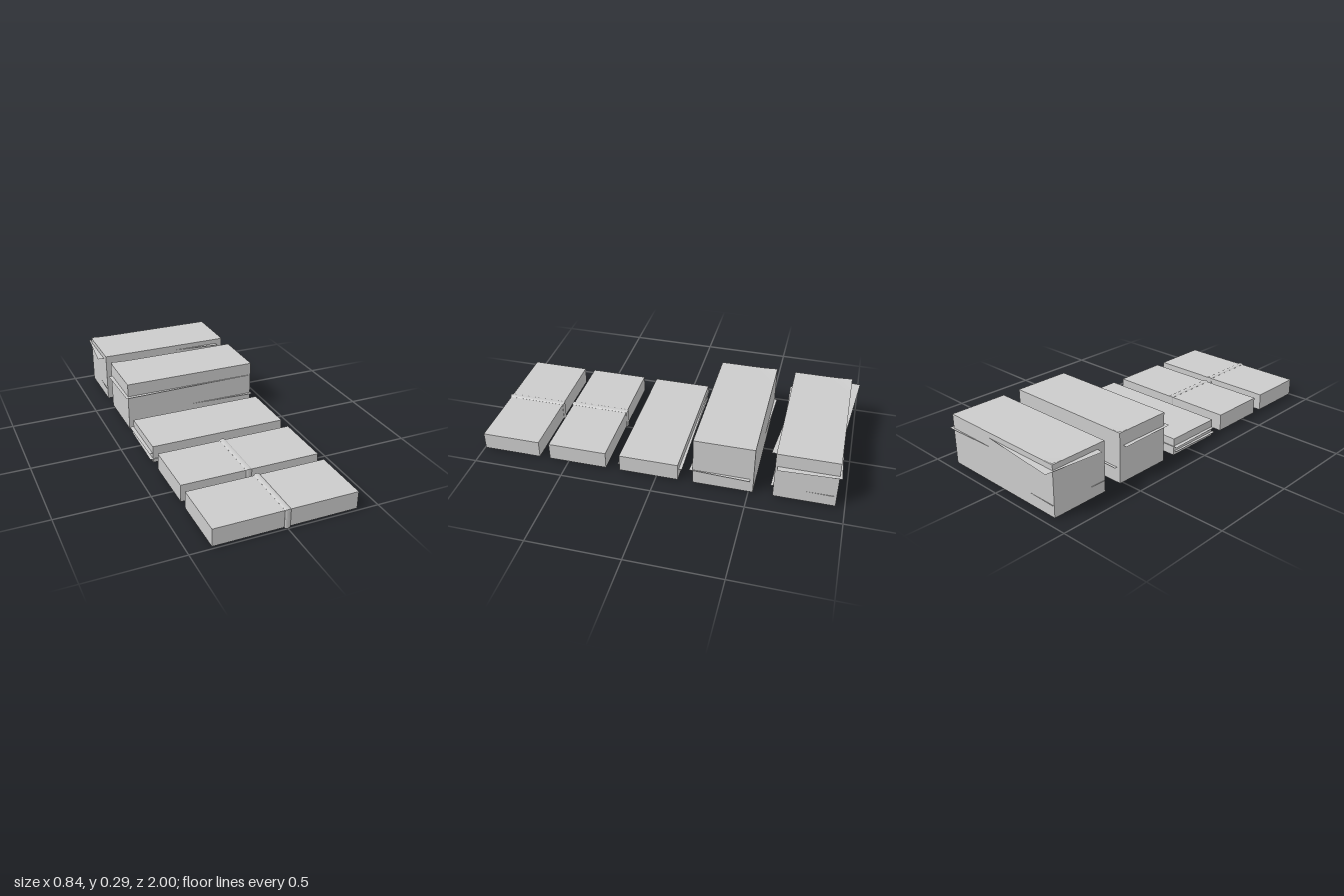
import * as THREE from 'three';

const W = 0.768, D = 0.324, BASE = 0.005;
const solid = new THREE.MeshStandardMaterial({ color: 0xcccccc, flatShading: true });
const sheet = new THREE.MeshStandardMaterial({ color: 0xcccccc, side: THREE.DoubleSide, flatShading: true });

function add(parent, name, geometry, material, x, y, z, turn = 0) {
  const mesh = new THREE.Mesh(geometry, material);
  mesh.name = name;
  mesh.position.set(x, y, z);
  mesh.rotation.y = turn;
  parent.add(mesh);
}

// Paper strap: a sleeve around the bundle that bulges along its middle
function strapGeometry(height) {
  const half = 0.016, bulge = 0.005;
  const g = new THREE.BoxGeometry(half * 2, height, D, 6, 1, 1);
  const p = g.attributes.position;
  for (let i = 0; i < p.count; i++) {
    const t = p.getX(i) / half;
    const out = 0.0005 + bulge * Math.sqrt(Math.max(0, 1 - t * t));
    p.setY(i, p.getY(i) + Math.sign(p.getY(i)) * out);
    p.setZ(i, p.getZ(i) + Math.sign(p.getZ(i)) * (out + 0.001));
  }
  g.computeVertexNormals();
  return g;
}

// Top note: flat sheet with the back left corner curling up slightly
function curledNote() {
  const g = new THREE.PlaneGeometry(W, D, 16, 8).rotateX(-Math.PI / 2);
  const p = g.attributes.position;
  for (let i = 0; i < p.count; i++) {
    const d = (p.getX(i) + W / 2) + (p.getZ(i) + D / 2);
    const k = Math.max(0, 1 - d / 0.13);
    p.setY(i, 0.005 * k * k);
  }
  g.computeVertexNormals();
  return g;
}

// z: centre, h: height, strap: x of the strap, notes: [x, y, z, turn]
const STACKS = [
  { z: 0.829, h: 0.096, strap: 0 },
  { z: 0.445, h: 0.096, strap: -0.015 },
  { z: 0.043, h: 0.096, notes: [[-0.02, 0.058, 0.032, 0.017], [-0.015, 0.028, 0.054, -0.016]] },
  { z: -0.362, h: 0.279, curled: true, notes: [[0.013, 0.09, -0.361, -0.045], [-0.02, 0.21, -0.349, 0.025]] },
  { z: -0.79, h: 0.279, curled: true,
    notes: [[-0.023, 0.255, -0.80, -0.1], [0.027, 0.205, -0.788, 0.04], [0, 0.07, -0.785, -0.025]] },
];

export function createModel() {
  const model = new THREE.Group();
  model.name = 'paperStacks';
  STACKS.forEach((s, i) => {
    const group = new THREE.Group();
    group.name = `stack${i + 1}`;
    model.add(group);
    add(group, 'bundle', new THREE.BoxGeometry(W, s.h, D), solid, 0, BASE + s.h / 2, s.z);
    if (s.strap !== undefined) {
      add(group, 'strap', strapGeometry(s.h), solid, s.strap, BASE + s.h / 2, s.z);
    }
    // Loose sheets poking out of the sides
    for (const [x, y, z, turn] of s.notes ?? []) {
      add(group, 'looseNote', new THREE.PlaneGeometry(W, D).rotateX(-Math.PI / 2), sheet, x, y, z, turn);
    }
    if (s.curled) add(group, 'topNote', curledNote(), sheet, 0, BASE + s.h + 0.001, s.z);
  });
  return model;
}
